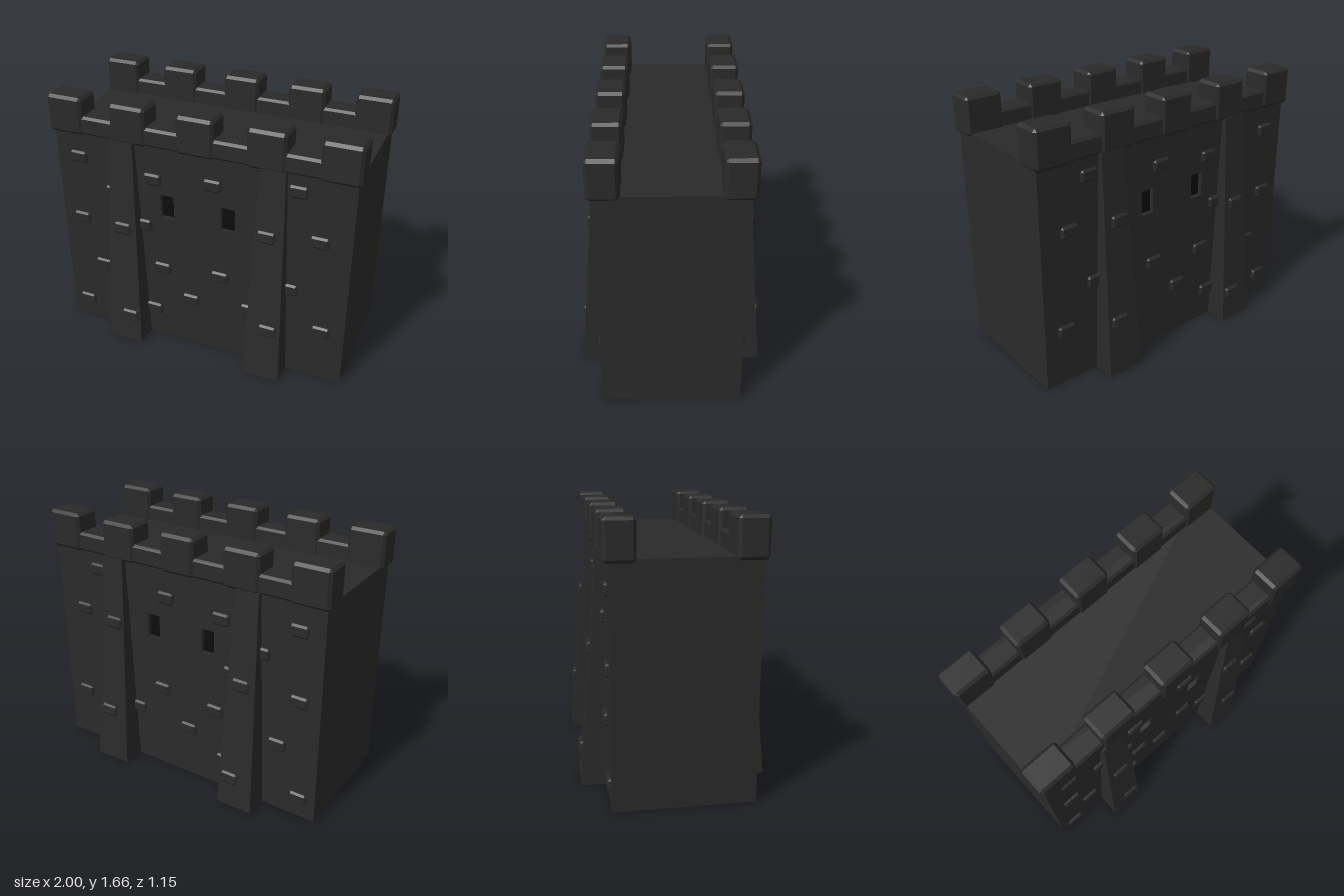
import * as THREE from 'three';
import { ConvexGeometry } from 'three/addons/geometries/ConvexGeometry.js';

const stone = new THREE.MeshStandardMaterial({ color: 0x2a2a2a, flatShading: true });
const dark = new THREE.MeshStandardMaterial({ color: 0x0b0b0b });

const HALF = 0.98, TOP = 1.44, FACE = 0.42, RECESS = 0.03;
const WINDOWS = [-0.205, 0.205];
const BUTTRESSES = [-0.4925, 0.4925];
const MERLONS = [-0.88, -0.445, 0, 0.445, 0.88];

// protruding bricks as [x, y], on the flat wall and on the buttresses
const WALL_BRICKS = [
  [-0.82, 1.26], [-0.3, 1.2], [0.105, 1.24], [0.64, 1.315], [-0.58, 1.055],
  [-0.38, 0.86], [0.785, 1.01], [-0.84, 0.81], [-0.255, 0.555], [0.15, 0.59],
  [0.61, 0.63], [-0.705, 0.47], [-0.055, 0.355], [0.355, 0.39], [0.83, 0.365],
  [-0.33, 0.21], [-0.865, 0.135],
];
const BUTTRESS_BRICKS = [[-0.49, 0.845], [0.475, 1.005], [0.52, 0.36], [-0.45, 0.2]];

// box with every edge cut at 45 degrees
function chamferBox(w, h, d, c) {
  const pts = [];
  for (const x of [-1, 1]) for (const y of [-1, 1]) for (const z of [-1, 1]) {
    const [a, b, e] = [w / 2, h / 2, d / 2];
    pts.push(new THREE.Vector3(x * a, y * (b - c), z * (e - c)));
    pts.push(new THREE.Vector3(x * (a - c), y * b, z * (e - c)));
    pts.push(new THREE.Vector3(x * (a - c), y * (b - c), z * e));
  }
  return new ConvexGeometry(pts);
}

function add(parent, name, geometry, material, x = 0, y = 0, z = 0) {
  const mesh = new THREE.Mesh(geometry, material);
  mesh.name = name;
  mesh.position.set(x, y, z);
  parent.add(mesh);
  return mesh;
}

function rectPath(path, x0, y0, x1, y1) {
  path.moveTo(x0, y0);
  path.lineTo(x1, y0);
  path.lineTo(x1, y1);
  path.lineTo(x0, y1);
  path.closePath();
  return path;
}

// outer skin of the wall with window openings
function facingGeometry() {
  const shape = rectPath(new THREE.Shape(), -HALF, 0, HALF, TOP);
  for (const x of WINDOWS) {
    shape.holes.push(rectPath(new THREE.Path(), x - 0.045, 0.94, x + 0.045, 1.1));
  }
  return new THREE.ExtrudeGeometry(shape, { depth: RECESS, bevelEnabled: false });
}

// front plane of a buttress leans back as it rises
const LEAN = 0.12 / 1.43;
const buttressZ = (y) => 0.57 - LEAN * y;

function buttressGeometry() {
  const g = new THREE.BoxGeometry(1, 1.43, 1).translate(0, 0.715, 0);
  const p = g.attributes.position;
  for (let i = 0; i < p.count; i++) {
    const y = p.getY(i);
    p.setX(i, p.getX(i) * 2 * (0.122 - 0.045 * y / 1.43));
    p.setZ(i, p.getZ(i) > 0 ? buttressZ(y) : 0.4);
  }
  g.computeVertexNormals();
  return g;
}

// one long face; flip = -1 reverses the brick layout along x
function makeSide(name, flip) {
  const side = new THREE.Group();
  side.name = name;
  add(side, 'wallFacing', facingGeometry(), stone, 0, 0, FACE - RECESS);
  for (const x of WINDOWS) {
    add(side, 'window', new THREE.PlaneGeometry(0.09, 0.16), dark, x, 1.02, FACE - RECESS + 0.002);
  }

  const buttress = buttressGeometry();
  for (const x of BUTTRESSES) add(side, 'buttress', buttress, stone, x);

  const brick = chamferBox(0.118, 0.078, 0.06, 0.012);
  for (const [x, y] of WALL_BRICKS) add(side, 'brick', brick, stone, flip * x, y, FACE - 0.01);
  for (const [x, y] of BUTTRESS_BRICKS) {
    const b = add(side, 'buttressBrick', brick, stone, flip * x, y, buttressZ(y) - 0.012);
    b.rotation.x = -Math.atan(LEAN);
  }

  // battlements
  add(side, 'parapet', chamferBox(1.96, 0.12, 0.16, 0.015), stone, 0, 1.483, 0.361);
  const merlon = chamferBox(0.24, 0.243, 0.181, 0.018);
  for (const x of MERLONS) add(side, 'merlon', merlon, stone, x, 1.541, 0.362);
  return side;
}

export function createModel() {
  const model = new THREE.Group();
  model.name = 'castleWall';
  add(model, 'wallCore', new THREE.BoxGeometry(2 * HALF, TOP, 2 * (FACE - RECESS)), stone, 0, TOP / 2, 0);
  const back = makeSide('backSide', -1);
  back.rotation.y = Math.PI;
  model.add(makeSide('frontSide', 1), back);
  return model;
}
